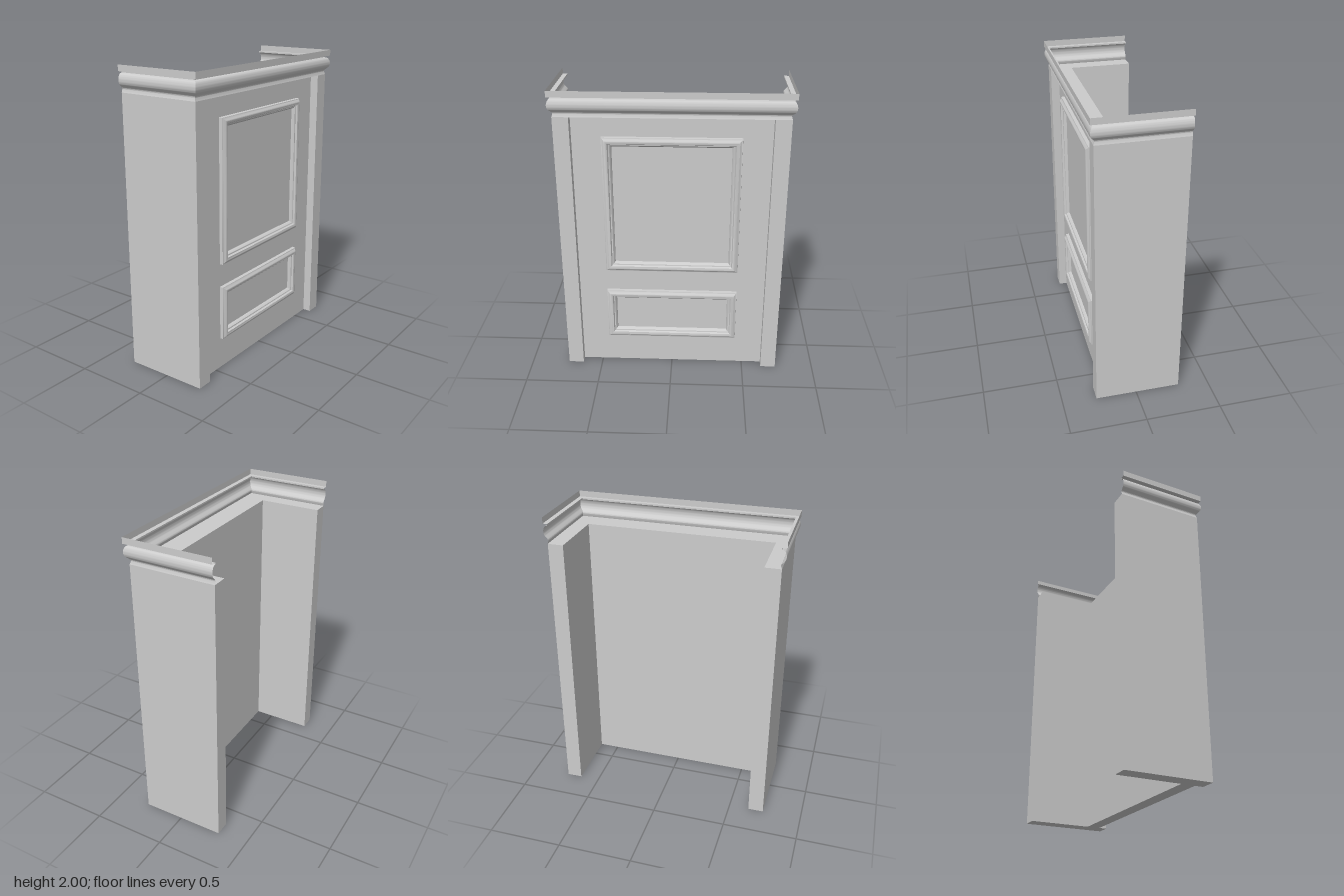
import * as THREE from 'three';
import { toCreasedNormals } from 'three/addons/utils/BufferGeometryUtils.js';

const BACK = -0.297, FRONT = 0.273, HALF = 0.738, INNER = 0.635, WALL_TOP = 1.83;
const PANEL_BACK = 0.125, PANEL_FRONT = 0.217;

const solid = new THREE.MeshStandardMaterial({ color: 0xcccccc });
const sheet = new THREE.MeshStandardMaterial({ color: 0xcccccc, side: THREE.DoubleSide });

function add(group, name, geometry, material = solid) {
  const mesh = new THREE.Mesh(geometry, material);
  mesh.name = name;
  group.add(mesh);
  return mesh;
}

// Box given by its minimum and maximum corners
function block(x0, y0, z0, x1, y1, z1) {
  return new THREE.BoxGeometry(x1 - x0, y1 - y0, z1 - z0)
    .translate((x0 + x1) / 2, (y0 + y1) / 2, (z0 + z1) / 2);
}

// Joins rows of [x, y, z] points into a mitred strip of moulding
function sweep(rows, closed, crease) {
  const n = rows[0].length, index = [];
  const last = closed ? rows.length : rows.length - 1;
  for (let i = 0; i < last; i++) {
    const k = (i + 1) % rows.length;
    for (let j = 0; j < n - 1; j++) {
      const a = i * n + j, b = k * n + j;
      index.push(a, a + 1, b, a + 1, b + 1, b);
    }
  }
  const geometry = new THREE.BufferGeometry();
  geometry.setAttribute('position', new THREE.Float32BufferAttribute(rows.flat(2), 3));
  geometry.setIndex(index);
  return toCreasedNormals(geometry, crease);
}

// Crown profile as [outward offset, height]: fascia, step, then bead and cove
function crownGeometry() {
  const bead = new THREE.CatmullRomCurve3([
    [-0.008, 1.95], [0.01, 1.943], [0.02, 1.926], [0.023, 1.906], [0.018, 1.884],
    [0.004, 1.868], [-0.006, 1.855], [-0.004, 1.842], [0, 1.83],
  ].map(([d, y]) => new THREE.Vector3(d, y, 0))).getPoints(28).map((p) => [p.x, p.y]);
  const profile = [[0.023, 2], [0.023, 1.96], [-0.008, 1.96], ...bead];
  const rows = [[0, 1], [1, 1], [1, -1], [0, -1]].map(([front, side]) =>
    profile.map(([d, y]) => [front ? FRONT + d : BACK, y, side * (HALF + d)]));
  return sweep(rows, false, 0.6);
}

// Picture-frame moulding; profile is [inset from outer edge, height above panel]
function frameGeometry(y0, y1, halfWidth) {
  const profile = [
    [0, 0], [0.002, 0.022], [0.008, 0.024], [0.02, 0.036], [0.026, 0.038],
    [0.04, 0.034], [0.046, 0.022], [0.053, 0.02], [0.063, 0.008], [0.065, 0],
  ];
  const rows = [[0, -1], [0, 1], [1, 1], [1, -1]].map(([top, side]) =>
    profile.map(([u, h]) => [PANEL_FRONT + h, top ? y1 - u : y0 + u, side * (halfWidth - u)]));
  return sweep(rows, true, 0.5);
}

export function createModel() {
  const model = new THREE.Group();
  model.name = 'panelledSurround';

  // Side walls, whose front edges form the corner posts
  add(model, 'leftWall', block(BACK, 0, -HALF, FRONT, WALL_TOP, -INNER));
  add(model, 'rightWall', block(BACK, 0, INNER, FRONT, WALL_TOP, HALF));

  // Recessed panel between the posts
  add(model, 'panel', block(PANEL_BACK, 0, -INNER, PANEL_FRONT, WALL_TOP, INNER));

  // Thin soffit over the recess, under the crown
  const soffit = new THREE.PlaneGeometry(FRONT - PANEL_FRONT, INNER * 2)
    .rotateX(-Math.PI / 2)
    .translate((FRONT + PANEL_FRONT) / 2, WALL_TOP, 0);
  add(model, 'soffit', soffit, sheet);

  // Crown moulding around the three outer sides
  add(model, 'crownMoulding', crownGeometry(), sheet);

  // Raised frames on the panel
  add(model, 'upperFrame', frameGeometry(0.74, 1.692, 0.447), sheet);
  add(model, 'lowerFrame', frameGeometry(0.212, 0.584, 0.447), sheet);

  return model;
}
